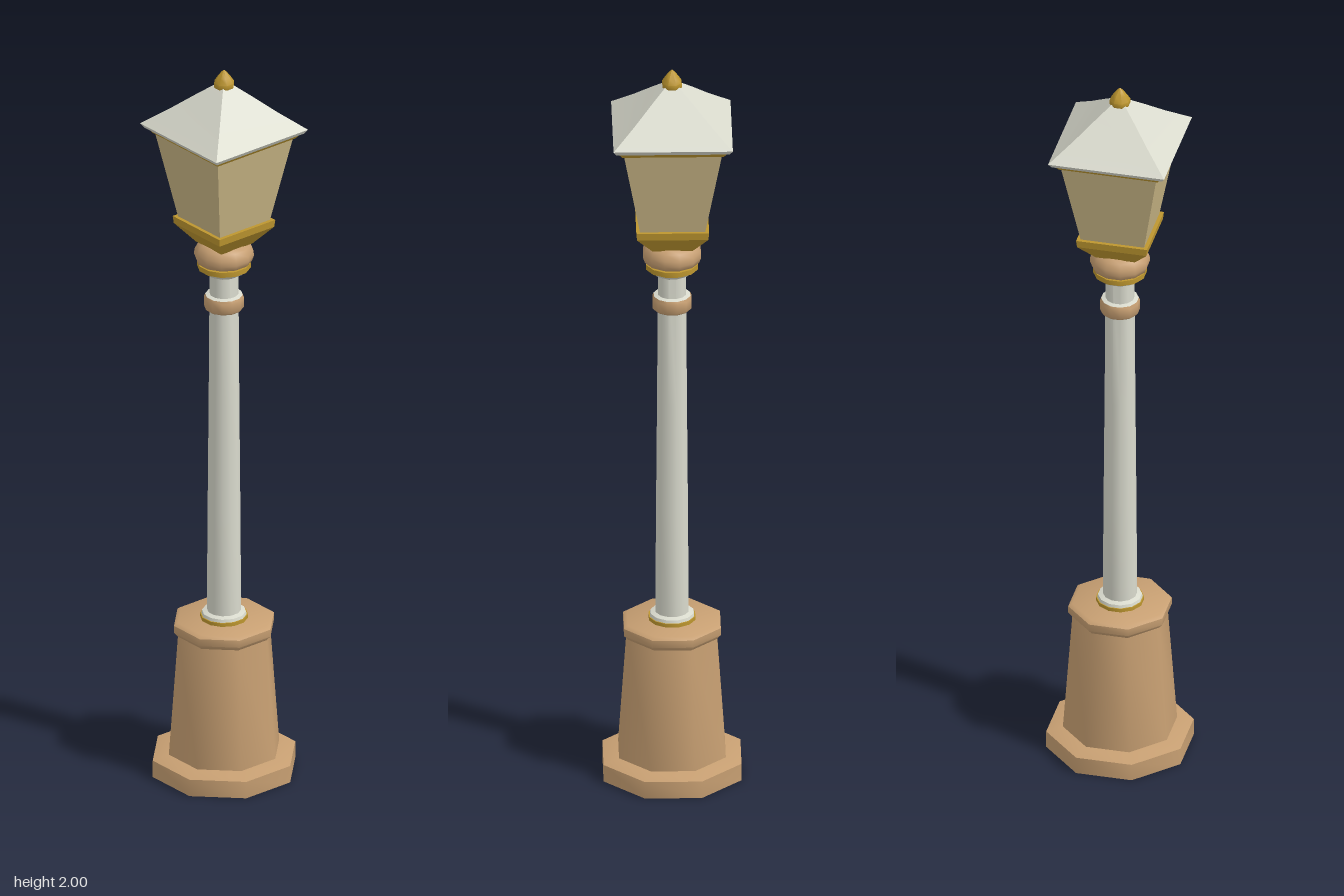
import * as THREE from 'three';
import { toCreasedNormals } from 'three/addons/utils/BufferGeometryUtils.js';

const material = (name, color) => {
  const m = new THREE.MeshStandardMaterial({ color });
  m.name = name;
  return m;
};

export function createModel() {
  const model = new THREE.Group();
  model.name = 'streetLamp';

  const paint = material('paleGreyPaint', 0xd9dacd);
  const stone = material('tanStone', 0xc79f72);
  const gold = material('agedGold', 0xbd962f);
  const glass = material('amberGlass', 0xc9b685);

  // Turned part from [apothem, height] pairs, bottom to top; flats face the axes
  const turned = (name, mat, sides, profile, crease = 0.9) => {
    const k = 1 / Math.cos(Math.PI / sides);
    const points = profile.map(([r, y]) => new THREE.Vector2(r * k, y));
    const lathe = new THREE.LatheGeometry(points, sides, Math.PI / sides);
    const mesh = new THREE.Mesh(toCreasedNormals(lathe, crease), mat);
    mesh.name = name;
    model.add(mesh);
  };

  // Octagonal pedestal
  turned('baseSlab', stone, 8, [[0, 0], [0.178, 0], [0.178, 0.047], [0.14, 0.058], [0, 0.058]]);
  turned('pedestal', stone, 8, [[0.138, 0.055], [0.115, 0.395]]);
  turned('pedestalCap', stone, 8, [[0.113, 0.39], [0.125, 0.405], [0.125, 0.425], [0.115, 0.432], [0, 0.432]]);

  // Pole with its foot ring and neck ring
  turned('footRing', gold, 12, [[0.06, 0.43], [0.06, 0.442], [0, 0.442]]);
  turned('footFlange', paint, 12, [[0.057, 0.442], [0.055, 0.45], [0.04, 0.455]]);
  turned('pole', paint, 12, [[0.043, 0.44], [0.041, 0.75], [0.0385, 1.05], [0.036, 1.43]]);
  turned('neckRing', stone, 12, [[0.035, 1.318], [0.046, 1.318], [0.05, 1.323], [0.05, 1.35], [0.047, 1.357]]);
  turned('neckRingTop', paint, 12, [[0.047, 1.357], [0.034, 1.361]]);

  // Capital under the lantern
  turned('capitalFlare', paint, 12, [[0.035, 1.415], [0.052, 1.425], [0.06, 1.435]]);
  turned('capitalRing', gold, 12, [[0.05, 1.43], [0.067, 1.436], [0.067, 1.45], [0.05, 1.452]]);
  turned('capitalBulb', stone, 12, [
    [0.055, 1.448], [0.07, 1.456], [0.075, 1.47], [0.074, 1.484], [0.066, 1.5], [0.052, 1.51], [0, 1.51],
  ]);

  // Square lantern
  turned('lanternTray', gold, 4, [[0, 1.505], [0.052, 1.505], [0.092, 1.555], [0.094, 1.575], [0.08, 1.575], [0, 1.575]], 0.3);
  turned('lanternGlass', glass, 4, [[0.084, 1.573], [0.127, 1.815]], 0.3);
  turned('roofTrim', gold, 4, [[0, 1.811], [0.131, 1.811], [0.141, 1.825], [0, 1.825]], 0.3);
  turned('roofEave', paint, 4, [[0.139, 1.825], [0.146, 1.825], [0.154, 1.837]], 0.3);
  turned('roof', paint, 4, [[0.154, 1.837], [0.098, 1.884], [0.05, 1.928], [0.018, 1.956], [0, 1.957]], 0.3);

  // Finial
  turned('finial', gold, 8, [
    [0, 1.943], [0.018, 1.945], [0.025, 1.953], [0.025, 1.965], [0.016, 1.98], [0.007, 1.993], [0, 2],
  ]);

  return model;
}
